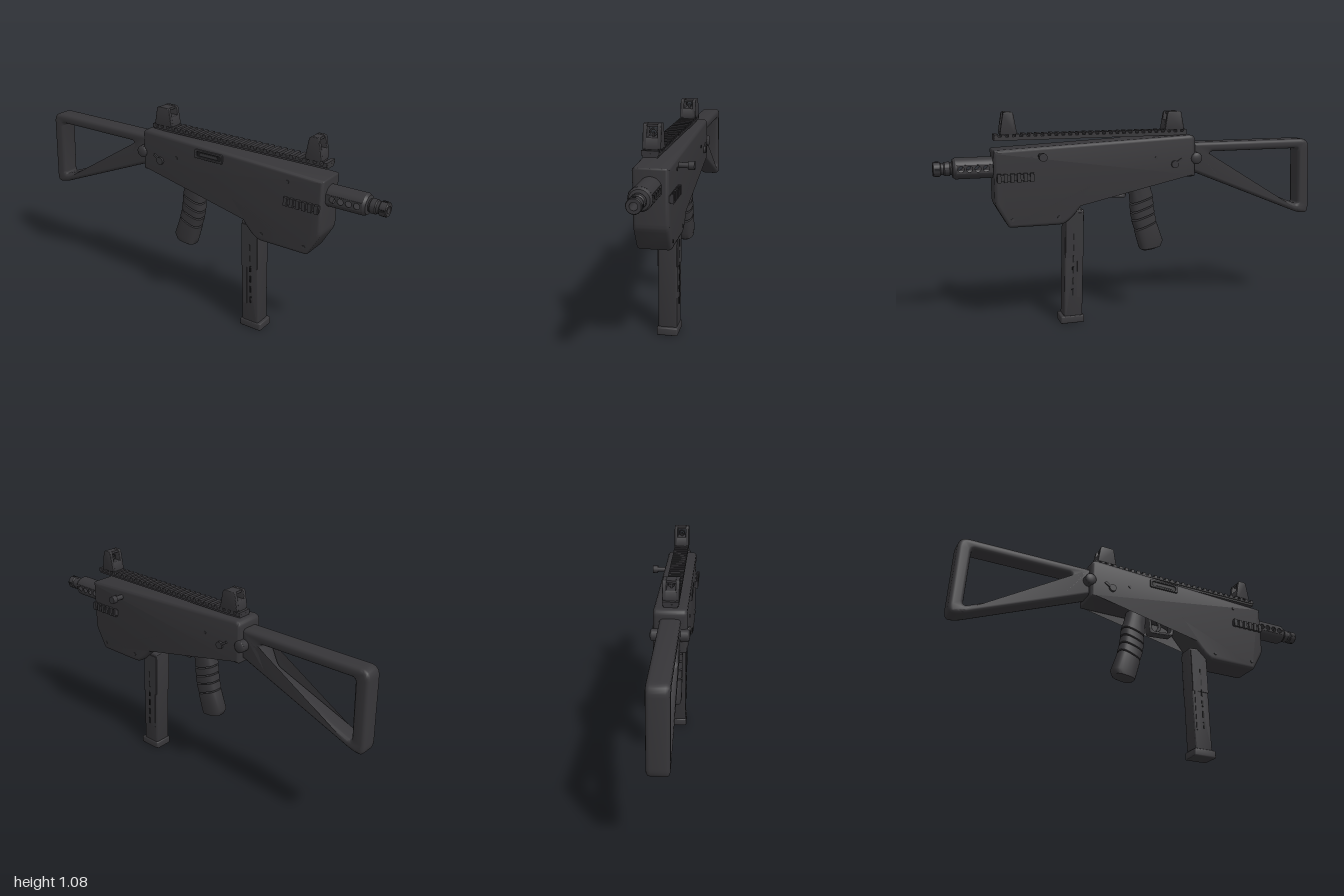
import * as THREE from 'three';
import { toCreasedNormals } from 'three/addons/utils/BufferGeometryUtils.js';

const ZC = 0.026; // depth of the centre plane
const CREASE = 0.6;

export function createModel() {
  const root = new THREE.Group();
  root.name = 'model';
  const metal = new THREE.MeshStandardMaterial({ name: 'darkGrey', color: 0x363538, side: THREE.DoubleSide });
  const dark = new THREE.MeshStandardMaterial({ name: 'recessBlack', color: 0x1c1c1e });

  const add = (name, geo, x = 0, y = 0, z = ZC, mat = metal) => {
    const mesh = new THREE.Mesh(geo, mat);
    mesh.name = name;
    mesh.position.set(x, y, z);
    root.add(mesh);
    return mesh;
  };
  const box = (name, w, h, d, x, y, z = ZC, mat = metal) => add(name, new THREE.BoxGeometry(w, h, d), x, y, z, mat);
  // Cylinder whose axis runs along z
  const pin = (name, r, len, x, y, z = ZC, sides = 16) =>
    add(name, new THREE.CylinderGeometry(r, r, len, sides).rotateX(Math.PI / 2), x, y, z);

  // Polygon with rounded corners; points are [x, y, radius]
  const outline = (Type, pts, r0) => {
    const s = new Type();
    const v = pts.map(p => new THREE.Vector2(p[0], p[1]));
    v.forEach((c, i) => {
      const r = pts[i][2] ?? r0;
      const toward = o => c.clone().add(o.clone().sub(c).setLength(Math.min(r, c.distanceTo(o) * 0.45)));
      const a = toward(v[(i + v.length - 1) % v.length]);
      const b = toward(v[(i + 1) % v.length]);
      if (i === 0) s.moveTo(a.x, a.y); else s.lineTo(a.x, a.y);
      s.quadraticCurveTo(c.x, c.y, b.x, b.y);
    });
    s.closePath();
    return s;
  };
  // Bevelled slab of a side outline, centred in depth
  const slab = (pts, width, bevel, r, holes = []) => {
    const s = outline(THREE.Shape, pts, r);
    holes.forEach(h => s.holes.push(outline(THREE.Path, h, r)));
    const g = new THREE.ExtrudeGeometry(s, {
      depth: width - 2 * bevel, bevelEnabled: bevel > 0, bevelSize: bevel, bevelThickness: bevel,
      bevelOffset: -bevel, bevelSegments: 3, curveSegments: 6
    });
    return toCreasedNormals(g.translate(0, 0, bevel - width / 2), CREASE);
  };
  // Loft of rounded sections, each [leftX, leftY, rightX, rightY, halfDepth]
  const loft = (sections, n = 24, power = 0.7) => {
    const pos = [], idx = [];
    const pw = t => Math.sign(t) * Math.abs(t) ** power;
    sections.forEach(([x0, y0, x1, y1, h]) => {
      for (let i = 0; i < n; i++) {
        const a = i / n * Math.PI * 2, c = pw(Math.cos(a)) / 2;
        pos.push((x0 + x1) / 2 + (x1 - x0) * c, (y0 + y1) / 2 + (y1 - y0) * c, h * pw(Math.sin(a)));
      }
    });
    const m = sections.length;
    for (let k = 0; k < m - 1; k++) for (let i = 0; i < n; i++) {
      const a = k * n + i, b = k * n + (i + 1) % n;
      idx.push(a, b, b + n, a, b + n, a + n);
    }
    [0, m - 1].forEach(k => {
      const [x0, y0, x1, y1] = sections[k], c = pos.length / 3;
      pos.push((x0 + x1) / 2, (y0 + y1) / 2, 0);
      for (let i = 0; i < n; i++) {
        const a = k * n + i, b = k * n + (i + 1) % n;
        if (k) idx.push(c, a, b); else idx.push(c, b, a);
      }
    });
    const g = new THREE.BufferGeometry();
    g.setAttribute('position', new THREE.Float32BufferAttribute(pos, 3));
    g.setIndex(idx);
    return toCreasedNormals(g, 0.8);
  };

  // Receiver with deep front housing
  add('receiver', slab([
    [-0.31, 0.74, 0.01], [0.195, 0.74, 0.05], [0.34, 0.565, 0.03], [0.385, 0.53, 0.03], [0.655, 0.53, 0.01],
    [0.72, 0.645, 0.02], [0.72, 0.91, 0.008], [-0.31, 0.957, 0.035]
  ], 0.16, 0.016, 0.02));

  // Skeleton shoulder stock
  add('stock', slab(
    [[-1.0, 0.5, 0.05], [-0.94, 0.505, 0.03], [-0.3, 0.765, 0.01], [-0.3, 0.913, 0.01], [-0.985, 0.913, 0.05]],
    0.1, 0.018, 0.02,
    [[[-0.932, 0.552], [-0.918, 0.862], [-0.402, 0.862], [-0.458, 0.742]]]));

  // Stock hinge with domed ends
  pin('stockHinge', 0.03, 0.166, -0.315, 0.835);
  for (const s of [-1, 1]) {
    const dome = new THREE.SphereGeometry(0.03, 16, 10);
    dome.scale(1, 1, 0.4);
    add('hingeCap', dome, -0.315, 0.835, ZC + s * 0.082);
    // Selector lever, pins and rivets on both sides
    pin('selectorKnob', 0.019, 0.016, -0.195, 0.81, ZC + s * 0.084);
    box('selectorLever', 0.05, 0.012, 0.01, -0.215, 0.822, ZC + s * 0.082).rotation.z = -0.6;
    for (const [x, y] of [[-0.095, 0.845], [0.41, 0.57], [0.64, 0.57], [0.54, 0.87]])
      pin('rivet', 0.008, 0.006, x, y, ZC + s * 0.081, 10);
    // Short slotted side rail
    box('sideRailBase', 0.18, 0.03, 0.012, 0.62, 0.778, ZC + s * 0.084);
    for (let i = 0; i < 6; i++)
      box('sideRailTooth', 0.018, 0.042, 0.014, 0.541 + i * 0.0316, 0.778, ZC + s * 0.092);
  }

  // Ejection port frame, recess and bolt
  add('portFrame', slab([[0.022, 0.875], [0.185, 0.875], [0.185, 0.92], [0.022, 0.92]], 0.012, 0.002, 0.008,
    [[[0.034, 0.885], [0.174, 0.885], [0.174, 0.91], [0.034, 0.91]]]), 0, 0, ZC + 0.082);
  box('portRecess', 0.144, 0.03, 0.004, 0.104, 0.8975, ZC + 0.0795, dark);
  box('portBolt', 0.1, 0.012, 0.006, 0.104, 0.8975, ZC + 0.081);

  // Charging handle on the far side
  pin('handleStem', 0.013, 0.07, 0.495, 0.878, -0.085);
  pin('handleKnob', 0.02, 0.028, 0.495, 0.878, -0.112);

  // Toothed top rail
  box('topRail', 0.985, 0.014, 0.066, 0.2175, 0.959);
  box('topRailLip', 0.985, 0.008, 0.078, 0.2175, 0.966);
  const teeth = 29;
  for (let i = 0; i < teeth; i++)
    box('railTooth', 0.019, 0.014, 0.078, -0.265 + i * 0.965 / (teeth - 1), 0.975);

  // Sights: tapered wings around a small aperture
  const sight = (name, x, base, top, height) => {
    const y0 = 0.98;
    for (const s of [-1, 1])
      add(name + 'Wing', slab([[x - base, y0], [x + base, y0], [x + top, y0 + height], [x - top, y0 + height]],
        0.018, 0.003, 0.012), 0, 0, ZC + s * 0.031);
    const t = base + (top - base) * 0.45;
    add(name + 'Base', slab([[x - base, y0], [x + base, y0], [x + t, y0 + 0.05], [x - t, y0 + 0.05]],
      0.05, 0, 0.004));
    box(name + 'Bridge', top * 1.6, 0.012, 0.05, x, y0 + height - 0.008);
    box(name + 'Post', 0.012, 0.03, 0.008, x, y0 + 0.055);
    add(name + 'Aperture', new THREE.TorusGeometry(0.014, 0.004, 8, 16).rotateY(Math.PI / 2), x, y0 + 0.07);
  };
  sight('rearSight', -0.208, 0.053, 0.036, 0.095);
  sight('frontSight', 0.64, 0.042, 0.024, 0.108);

  // Perforated barrel shroud: curved top and bottom, pierced sides
  const BY = 0.823, R = 0.052, half = 0.4;
  for (const start of [half, Math.PI + half])
    add('shroud', new THREE.CylinderGeometry(R, R, 0.18, 20, 1, true, start, Math.PI - 2 * half)
      .rotateZ(-Math.PI / 2).rotateX(0), 0.8, BY);
  const hh = R * Math.sin(half), zz = R * Math.cos(half);
  for (const s of [-1, 1]) {
    const strip = new THREE.Shape([[0.71, -hh], [0.89, -hh], [0.89, hh], [0.71, hh]].map(p => new THREE.Vector2(...p)));
    for (let i = 0; i < 4; i++) {
      const hole = new THREE.Path();
      hole.absarc(0.752 + i * 0.0395, 0, 0.0145, 0, Math.PI * 2, true);
      strip.holes.push(hole);
    }
    add('shroudSide', new THREE.ExtrudeGeometry(strip, { depth: 0.004, bevelEnabled: false, curveSegments: 10 }),
      0, BY, ZC + (s > 0 ? zz - 0.002 : -zz - 0.002));
  }

  // Shroud nose and muzzle, turned as one profile along x
  const profile = [[0.017, 0.89], [R, 0.89], [R, 0.896], [0.045, 0.908], [0.03, 0.912], [0.03, 0.918], [0.034, 0.922],
    [0.034, 0.945], [0.029, 0.95], [0.029, 0.962], [0.034, 0.966], [0.034, 0.996], [0.031, 1.0], [0.017, 1.0], [0.017, 0.89]];
  add('muzzle', toCreasedNormals(new THREE.LatheGeometry(profile.map(p => new THREE.Vector2(...p)), 24)
    .rotateZ(-Math.PI / 2), 0.5), 0, BY);
  for (let i = 0; i < 4; i++) {
    const port = box('muzzlePort', 0.022, 0.004, 0.012, 0.981, BY + 0.0335 * Math.cos(i * Math.PI / 2),
      ZC + 0.0335 * Math.sin(i * Math.PI / 2), dark);
    port.rotation.x = i * Math.PI / 2;
  }

  // Trigger guard and trigger
  add('triggerGuard', slab([[0.04, 0.75], [0.05, 0.638], [0.188, 0.648], [0.196, 0.75]], 0.05, 0.004, 0.016,
    [[[0.055, 0.74], [0.065, 0.654], [0.174, 0.662], [0.18, 0.74]]]));
  const triggerPath = new THREE.CatmullRomCurve3([[0.09, 0.75], [0.112, 0.715], [0.118, 0.69], [0.1, 0.662]]
    .map(p => new THREE.Vector3(p[0], p[1], 0)));
  add('trigger', new THREE.TubeGeometry(triggerPath, 12, 0.009, 8));

  // Pistol grip: rounded segments divided by slanted gaps
  const cuts = [[-0.1, 0.64, 0.018, 0.602], [-0.104, 0.597, 0.016, 0.555], [-0.11, 0.553, 0.009, 0.514], [-0.12, 0.508, -0.005, 0.463]];
  const lower = (c, d) => [c[0], c[1] + d, c[2], c[3] + d, 0.046];
  const g = 0.004;
  add('gripTop', loft([lower(cuts[0], g), [-0.085, 0.69, 0.024, 0.67, 0.046], [-0.07, 0.75, 0.036, 0.75, 0.046]]));
  for (let i = 0; i < 3; i++) add('gripBand', loft([lower(cuts[i + 1], g), lower(cuts[i], -g)]));
  add('gripBottom', loft([
    [-0.115, 0.36, -0.045, 0.352, 0.03], [-0.145, 0.372, -0.034, 0.358, 0.042],
    [-0.157, 0.4, -0.024, 0.39, 0.046], lower(cuts[3], -g)
  ]));

  // Magazine with side ribs, witness slots and base plate
  add('magazine', slab([[0.292, 0.03], [0.388, 0.03], [0.37, 0.6], [0.274, 0.592]], 0.092, 0.008, 0.006));
  add('magazineBase', slab([[0.282, 0.004], [0.406, 0.004], [0.404, 0.044], [0.284, 0.044]], 0.104, 0.008, 0.008));
  for (const s of [-1, 1]) {
    add('magazineRib', slab([[0.3, 0.14], [0.32, 0.14], [0.308, 0.56], [0.288, 0.56]], 0.004, 0, 0.004),
      0, 0, ZC + s * 0.047);
    add('magazineCollar', slab([[0.284, 0.35], [0.375, 0.35], [0.368, 0.58], [0.278, 0.58]], 0.006, 0, 0.004),
      0, 0, ZC + s * 0.047);
    for (let i = 0; i < 6; i++)
      box('witnessSlot', 0.008, 0.034, 0.004, 0.342 - i * 0.0022, 0.17 + i * 0.058, ZC + s * 0.0495, dark);
  }
  return root;
}
